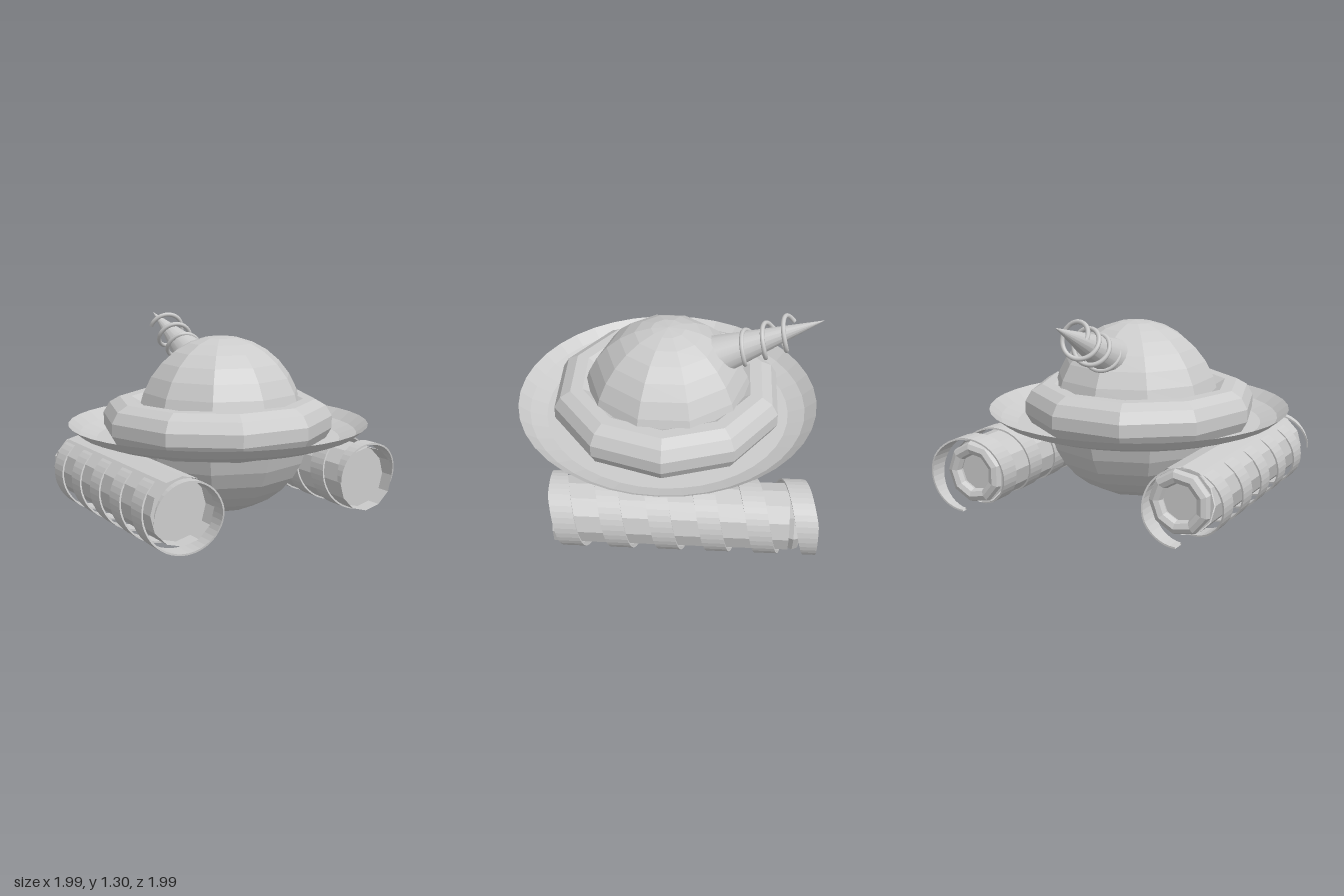
import * as THREE from 'three';

const flat = new THREE.MeshStandardMaterial({ color: 0xcccccc, flatShading: true, side: THREE.DoubleSide });
const smooth = new THREE.MeshStandardMaterial({ color: 0xcccccc, side: THREE.DoubleSide });

function part(parent, name, geometry, material, x = 0, y = 0, z = 0) {
  const mesh = new THREE.Mesh(geometry, material);
  mesh.name = name;
  mesh.position.set(x, y, z);
  parent.add(mesh);
  return mesh;
}

// Thin spiral strap around the z axis, cut off flat at both ends so its tips taper
function spiralBand(zTop, front, back) {
  const pitch = 0.3, half = 0.07, steps = 40;
  const from = -0.25 * steps, to = 5.5 * steps;
  const section = [[0.235, half], [0.235, -half], [0.224, -half], [0.224, half]];
  const positions = [], index = [];
  for (let i = from; i <= to; i++) {
    const a = (i / steps) * Math.PI * 2;
    const zc = zTop - (pitch * i) / steps;
    for (const [r, dz] of section) {
      positions.push(r * Math.sin(a), r * Math.cos(a), THREE.MathUtils.clamp(zc + dz, back, front));
    }
    if (i === from) continue;
    const k = (i - from) * 4;
    for (let j = 0; j < 4; j++) {
      const n = (j + 1) % 4;
      index.push(k - 4 + j, k - 4 + n, k + j, k + j, k - 4 + n, k + n);
    }
  }
  const g = new THREE.BufferGeometry();
  g.setAttribute('position', new THREE.Float32BufferAttribute(positions, 3));
  g.setIndex(index);
  g.computeVertexNormals();
  return g;
}

// Screw-shaped float: open drum, recessed front disc, rear cap and lip, spiral band
function screwFloat(name, p) {
  const group = new THREE.Group();
  group.name = name;
  const length = p.front - p.back;
  const drum = new THREE.CylinderGeometry(0.213, 0.213, length, 12, 1, true).rotateX(Math.PI / 2);
  part(group, 'drum', drum, flat, p.x, p.y, (p.front + p.back) / 2);
  part(group, 'frontDisc', new THREE.CircleGeometry(0.205, 12), flat, p.x, p.y, p.front - 0.09);
  part(group, 'rearCap', new THREE.CircleGeometry(0.205, 12).rotateY(Math.PI), flat, p.x, p.y, p.back);
  part(group, 'rearLip', new THREE.TorusGeometry(0.16, 0.045, 8, 9), flat, p.x, p.y, p.back - 0.03);
  part(group, 'spiralBand', spiralBand(p.zTop, p.bandFront, p.bandBack), flat, p.bandX, p.bandY, 0);
  return group;
}

export function createModel() {
  const model = new THREE.Group();
  model.name = 'saucerVehicle';

  // Ten-sided dome above, wider belly below
  const half = (radius, start) =>
    new THREE.SphereGeometry(1, 10, 8, 0, Math.PI * 2, start, Math.PI / 2).rotateY(Math.PI / 2).scale(radius, 0.59, radius);
  part(model, 'dome', half(0.565, 0), flat, 0.022, 0.61, -0.005);
  part(model, 'belly', half(0.625, Math.PI / 2), flat, 0.015, 0.61, -0.005);

  // Rounded ten-sided collar around the dome
  const ring = [];
  for (let i = 0; i <= 12; i++) {
    const a = ((i + 0.5) / 12) * Math.PI * 2;
    ring.push(new THREE.Vector2(0.615 + 0.157 * Math.cos(a), 0.157 * Math.sin(a)));
  }
  part(model, 'collar', new THREE.LatheGeometry(ring, 10).rotateY(Math.PI / 2), flat, -0.015, 0.638, 0);

  // Shallow dish
  const dish = [[0.5, 0.53], [0.81, 0.53], [0.92, 0.57], [0.995, 0.63]].map(([r, y]) => new THREE.Vector2(r, y));
  part(model, 'dish', new THREE.LatheGeometry(dish, 40), flat, -0.003, 0, 0);

  // Horn pointing back and up
  const base = new THREE.Vector3(0.02, 0.98, -0.29);
  const tip = new THREE.Vector3(0.02, 1.288, -0.995);
  const axis = tip.clone().sub(base);
  const horn = part(model, 'horn', new THREE.ConeGeometry(0.142, axis.length(), 16), smooth);
  horn.position.copy(base).lerp(tip, 0.5);
  horn.quaternion.setFromUnitVectors(new THREE.Vector3(0, 1, 0), axis.clone().normalize());

  // Coil wound around the horn
  const start = new THREE.Vector3(0.02, 1.0, -0.36);
  const end = new THREE.Vector3(0.02, 1.205, -0.81);
  const dir = end.clone().sub(start).normalize();
  const side = new THREE.Vector3(1, 0, 0);
  const up = side.clone().cross(dir).normalize();
  const points = [];
  for (let i = 0; i <= 84; i++) {
    const t = i / 84;
    const a = t * 3.5 * Math.PI * 2;
    points.push(start.clone().lerp(end, t)
      .addScaledVector(side, 0.106 * Math.cos(a))
      .addScaledVector(up, 0.106 * Math.sin(a)));
  }
  part(model, 'hornCoil', new THREE.TubeGeometry(new THREE.CatmullRomCurve3(points), 200, 0.015, 8), smooth);

  // Two floats, staggered along z
  model.add(screwFloat('leftFloat', {
    x: 0.742, y: 0.275, front: 0.66, back: -0.8,
    bandX: 0.748, bandY: 0.285, zTop: 0.645, bandFront: 0.69, bandBack: -0.975,
  }));
  model.add(screwFloat('rightFloat', {
    x: -0.678, y: 0.272, front: 0.745, back: -0.73,
    bandX: -0.68, bandY: 0.24, zTop: 0.835, bandFront: 0.835, bandBack: -0.83,
  }));
  return model;
}
